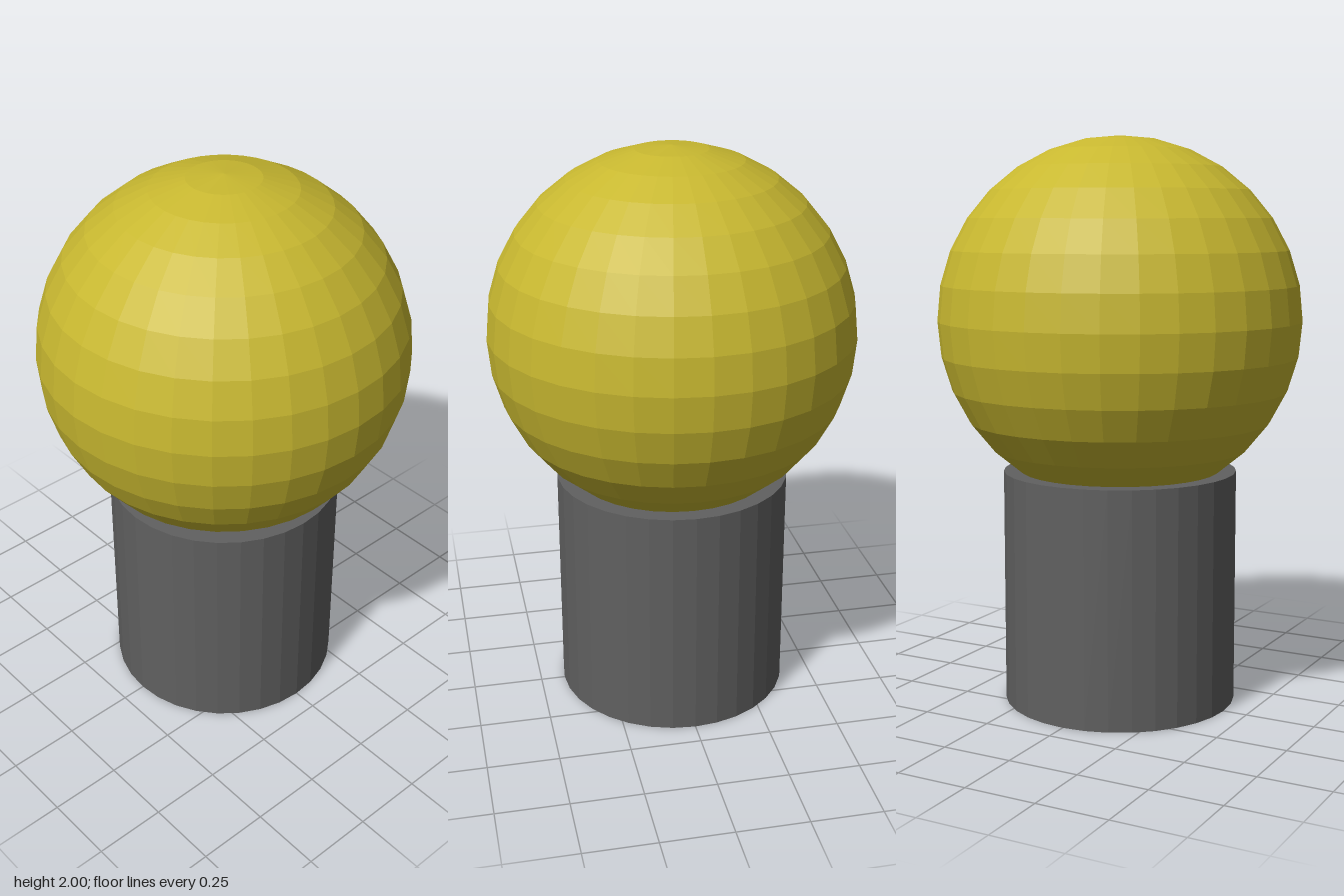
import * as THREE from 'three';

const SIDES = 32;

function addPart(group, name, geometry, color, y) {
  const material = new THREE.MeshStandardMaterial({ color, flatShading: true });
  const mesh = new THREE.Mesh(geometry, material);
  mesh.name = name;
  mesh.position.y = y;
  group.add(mesh);
}

export function createModel() {
  const group = new THREE.Group();
  group.name = 'globeOnPost';

  // Closed cylindrical base
  const baseHeight = 0.83;
  addPart(group, 'base', new THREE.CylinderGeometry(0.413, 0.413, baseHeight, SIDES), 0x606060, baseHeight / 2);

  // Faceted globe sunk slightly into the base
  const radius = 0.638;
  addPart(group, 'globe', new THREE.SphereGeometry(radius, SIDES, SIDES / 2), 0xc8b830, 2 - radius);

  return group;
}
